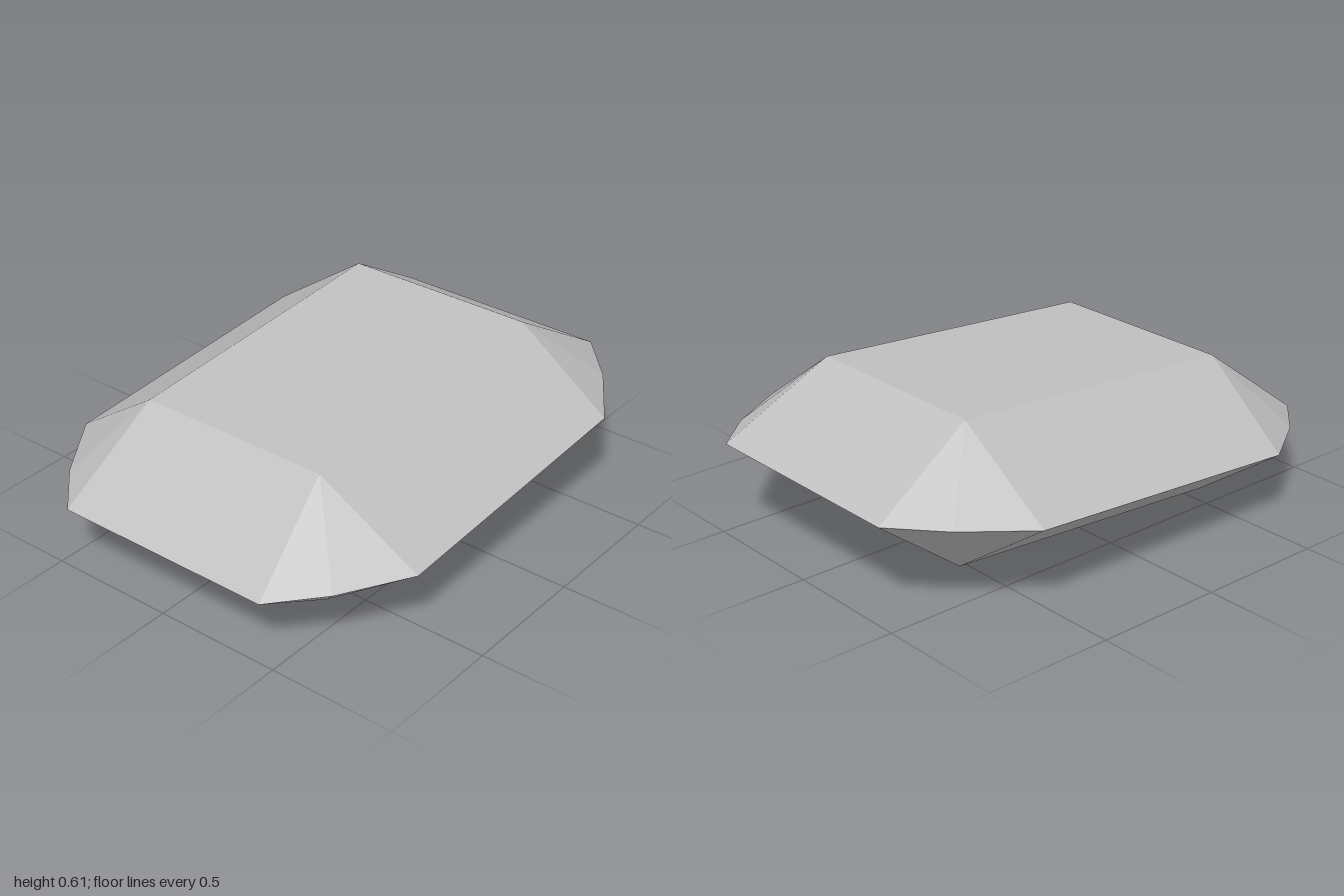
import * as THREE from 'three';
import { ConvexGeometry } from 'three/addons/geometries/ConvexGeometry.js';

export function createModel() {
  const model = new THREE.Group();
  model.name = 'rock';

  const stoneGrey = new THREE.MeshStandardMaterial({ color: 0xc0c0c0 });
  stoneGrey.name = 'stone grey';

  // one corner of the wide girdle (x, z), mirrored into all four quadrants
  const girdleCorner = [[1.002, 0.446], [0.826, 0.614], [0.576, 0.779]];
  const points = [];
  for (const sx of [-1, 1]) {
    for (const sz of [-1, 1]) {
      for (const [x, z] of girdleCorner) points.push(new THREE.Vector3(sx * x, 0, sz * z));
      // corners of the flat top and bottom
      for (const sy of [-1, 1]) points.push(new THREE.Vector3(sx * 0.601, sy * 0.27, sz * 0.391));
    }
  }

  // faceted stone, tilted slightly so its left end is raised
  const stone = new THREE.Mesh(new ConvexGeometry(points), stoneGrey);
  stone.name = 'facetedStone';
  stone.rotation.z = 0.0615;
  stone.position.y = 0.3065;
  model.add(stone);

  return model;
}
